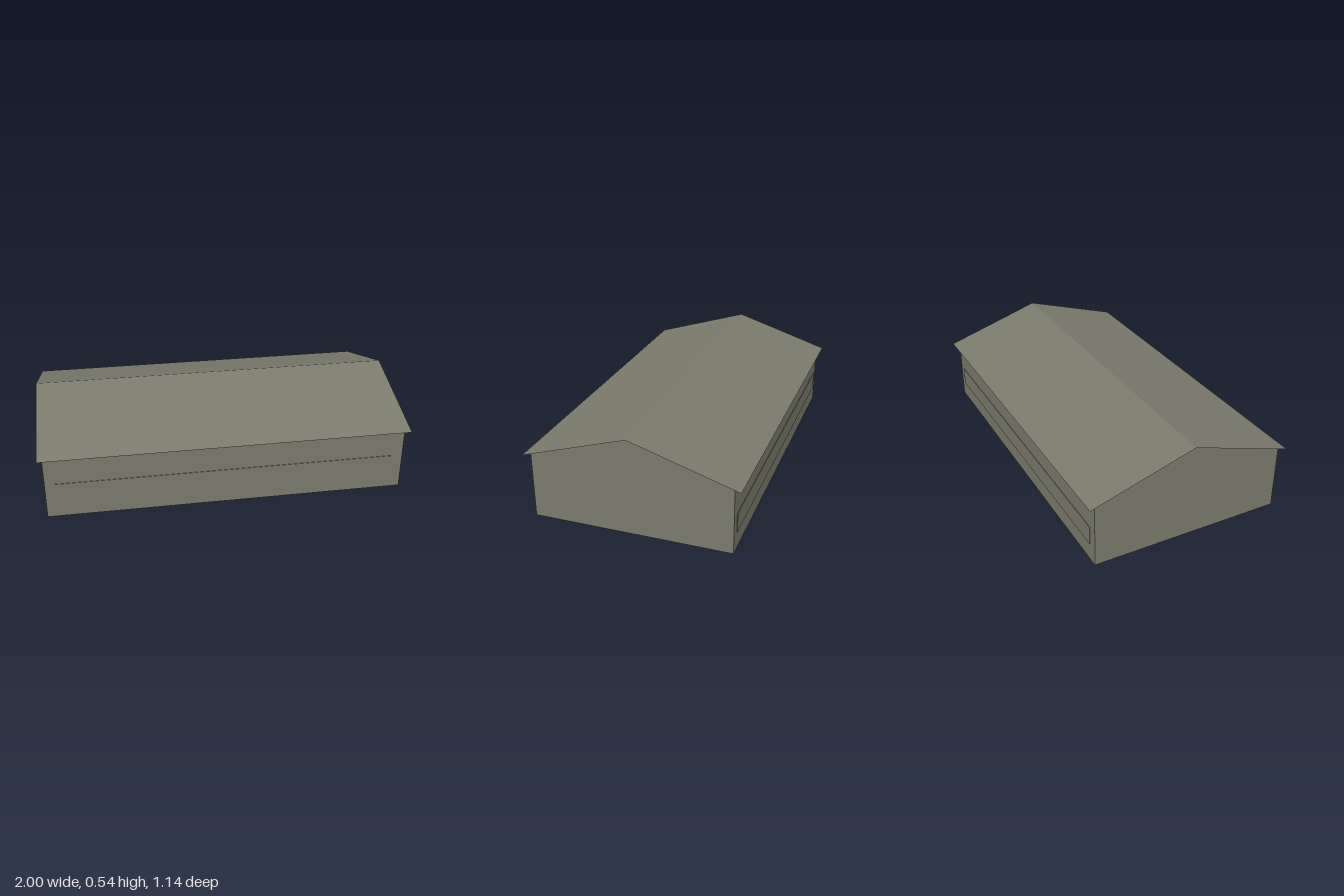
import * as THREE from 'three';

export function createModel() {
  const group = new THREE.Group();
  const drab = new THREE.MeshStandardMaterial({ color: 0x7a7a6c, side: THREE.DoubleSide });
  drab.name = 'drab grey green';

  const add = (name, geometry) => {
    const mesh = new THREE.Mesh(geometry, drab);
    mesh.name = name;
    group.add(mesh);
    return mesh;
  };

  // Hall body: gabled cross-section run along x
  const halfLength = 0.975, halfWidth = 0.533, wallTop = 0.367;
  const section = new THREE.Shape([
    new THREE.Vector2(-halfWidth, 0),
    new THREE.Vector2(halfWidth, 0),
    new THREE.Vector2(halfWidth, wallTop),
    new THREE.Vector2(0, 0.525),
    new THREE.Vector2(-halfWidth, wallTop),
  ]);
  const body = new THREE.ExtrudeGeometry(section, { depth: halfLength * 2, bevelEnabled: false });
  body.translate(0, 0, -halfLength).rotateY(Math.PI / 2);
  add('hallBody', body);

  // Thin sheet roof, folded at the ridge and overhanging all round
  const ridge = 0.536, eave = 0.357, reach = 0.57;
  const sheet = new THREE.PlaneGeometry(2, reach * 2, 1, 2).rotateX(-Math.PI / 2);
  const p = sheet.attributes.position;
  for (let i = 0; i < p.count; i++) {
    p.setY(i, ridge - (ridge - eave) * Math.abs(p.getZ(i)) / reach);
  }
  const roof = sheet.toNonIndexed();
  roof.computeVertexNormals();
  add('roof', roof);

  // Long window band on each side wall
  for (const [name, side] of [['frontWindowBand', 1], ['backWindowBand', -1]]) {
    add(name, new THREE.BoxGeometry(1.85, 0.104, 0.006)).position.set(0, 0.147, side * halfWidth);
  }

  return group;
}
